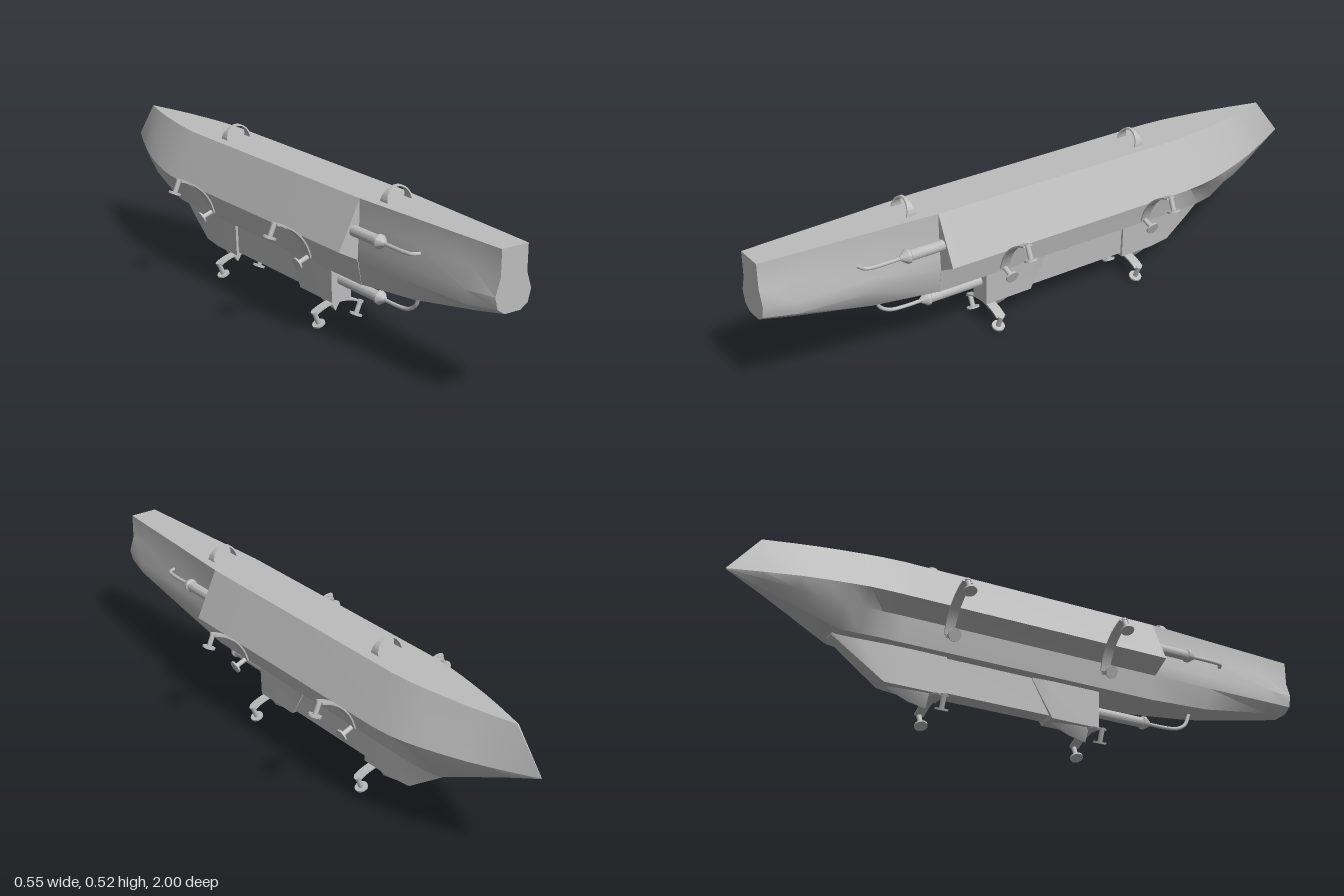
import * as THREE from 'three';
import { toCreasedNormals } from 'three/addons/utils/BufferGeometryUtils.js';

const grey = new THREE.MeshStandardMaterial({ color: 0xbcbcbc });
grey.name = 'hull grey';

function part(name, geometry, parent) {
  const mesh = new THREE.Mesh(geometry, grey);
  mesh.name = name;
  parent.add(mesh);
  return mesh;
}

// Skin mirrored cross-sections, listed front to back as [z, [x, y] from top to bottom]
function loft(sections, crease = 0.6) {
  const rings = sections.map(([z, half]) => [
    ...half.slice().reverse().map(([x, y]) => [x, y, z]),
    ...half.map(([x, y]) => [-x, y, z]),
  ]);
  const n = rings[0].length;
  const pos = rings.flat(2);
  const index = [];
  for (let r = 0; r < rings.length - 1; r++) {
    for (let i = 0; i < n; i++) {
      const a = r * n + i, b = r * n + (i + 1) % n;
      index.push(a, a + n, b, b, a + n, b + n);
    }
  }
  [0, rings.length - 1].forEach((r) => {
    const ys = rings[r].map((p) => p[1]);
    const c = pos.length / 3;
    pos.push(0, (Math.min(...ys) + Math.max(...ys)) / 2, rings[r][0][2]);
    for (let i = 0; i < n; i++) {
      const a = r * n + i, b = r * n + (i + 1) % n;
      if (r === 0) index.push(c, a, b);
      else index.push(c, b, a);
    }
  });
  const g = new THREE.BufferGeometry();
  g.setAttribute('position', new THREE.Float32BufferAttribute(pos, 3));
  g.setIndex(index);
  return toCreasedNormals(g, crease);
}

// Flat curved band in the xy plane with its width along z
function band(radius, thickness, from, to, width) {
  const s = new THREE.Shape();
  s.absarc(0, 0, radius, from, to, false);
  s.absarc(0, 0, radius - thickness, to, from, true);
  const g = new THREE.ExtrudeGeometry(s, { depth: width, bevelEnabled: false, curveSegments: 20 });
  return g.translate(0, 0, -width / 2);
}

// Stepped barrel along +z with a conical collar, and a bent pipe from its end
function barrel(name, length, pipePoints) {
  const group = new THREE.Group();
  group.name = name;
  const profile = [[0, 0], [0.017, 0], [0.017, length - 0.012], [0.022, length - 0.008],
    [0.022, length], [0.007, length + 0.022], [0, length + 0.022]];
  const body = new THREE.LatheGeometry(profile.map((p) => new THREE.Vector2(...p)), 20);
  part('barrelBody', toCreasedNormals(body.rotateX(Math.PI / 2), 0.5), group);
  const curve = new THREE.CatmullRomCurve3(pipePoints.map((p) => new THREE.Vector3(...p)));
  part('bentPipe', new THREE.TubeGeometry(curve, 24, 0.006, 10), group);
  return group;
}

// Curved arm with an angled round foot at each end
const ARM_R = 0.171;
function clampArm(name) {
  const group = new THREE.Group();
  group.name = name;
  const half = 0.55;
  part('curvedArm', band(ARM_R, 0.005, Math.PI / 2 - half, Math.PI / 2 + half, 0.032), group);
  for (const s of [-1, 1]) {
    const foot = new THREE.Group();
    foot.name = 'foot';
    foot.position.set(s * Math.sin(half) * ARM_R, Math.cos(half) * ARM_R, 0);
    foot.rotation.z = -s * 0.4;
    part('footPost', new THREE.CylinderGeometry(0.008, 0.008, 0.044, 14), foot).position.y = -0.022;
    part('footPad', new THREE.CylinderGeometry(0.021, 0.021, 0.006, 20), foot).position.y = -0.045;
    part('footHinge', new THREE.CylinderGeometry(0.01, 0.01, 0.006, 14), foot);
    group.add(foot);
  }
  return group;
}

export function createModel() {
  const model = new THREE.Group();
  model.name = 'vessel';

  // Broad main hull, drawn to a point at the back
  const wide = [[0.08, 0.472], [0.152, 0.32], [0.085, 0.285], [0.069, 0.204]];
  part('mainHull', loft([
    [0.43, wide],
    [-0.47, wide],
    [-0.54, [[0.075, 0.472], [0.148, 0.322], [0.092, 0.28], [0.069, 0.204]]],
    [-0.6, [[0.067, 0.472], [0.14, 0.325], [0.1, 0.275], [0.065, 0.204]]],
    [-0.66, [[0.057, 0.472], [0.126, 0.328], [0.101, 0.27], [0.056, 0.207]]],
    [-0.73, [[0.044, 0.472], [0.107, 0.332], [0.088, 0.28], [0.044, 0.236]]],
    [-0.8, [[0.028, 0.472], [0.085, 0.336], [0.07, 0.3], [0.03, 0.265]]],
    [-0.9, [[0.002, 0.472], [0.045, 0.342], [0.036, 0.325], [0.014, 0.307]]],
    [-1, [[0.0005, 0.351], [0.001, 0.349], [0.001, 0.348], [0.0005, 0.347]]],
  ]), model);

  // Narrow forward section
  part('noseSection', loft([
    [1, [[0.047, 0.472], [0.047, 0.392], [0.064, 0.341], [0.054, 0.303], [0.028, 0.286]]],
    [0.9, [[0.053, 0.472], [0.058, 0.395], [0.08, 0.335], [0.074, 0.292], [0.038, 0.267]]],
    [0.65, [[0.067, 0.472], [0.069, 0.4], [0.083, 0.33], [0.083, 0.286], [0.052, 0.223]]],
    [0.42, [[0.08, 0.472], [0.08, 0.4], [0.083, 0.33], [0.084, 0.286], [0.069, 0.204]]],
  ]), model);

  // Keel: two deep pods joined by a slimmer bridge
  const pod = [[0.041, 0.21], [0.036, 0.08]];
  part('frontKeelPod', loft([[0.24, pod], [0.07, pod], [0, [[0.036, 0.21], [0.034, 0.2]]]]), model);
  part('keelBridge', loft([
    [0.1, [[0.032, 0.21], [0.028, 0.09]]],
    [-0.32, [[0.032, 0.21], [0.028, 0.09]]],
  ]), model);
  part('rearKeelPod', loft([
    [-0.3, pod], [-0.42, pod],
    [-0.5, [[0.038, 0.21], [0.028, 0.084]]],
    [-0.59, [[0.032, 0.21], [0.024, 0.147]]],
    [-0.67, [[0.022, 0.212], [0.018, 0.204]]],
  ]), model);

  // Tapered fairings beneath the pods
  for (const z of [0.21, -0.35]) {
    part('keelFairing', loft([
      [z, [[0.024, 0.082], [0.022, 0.074], [0.001, 0.038]]],
      [z - 0.06, [[0.02, 0.082], [0.018, 0.077], [0.001, 0.05]]],
      [z - 0.13, [[0.004, 0.082], [0.003, 0.081], [0.001, 0.079]]],
    ]), model);
  }

  // Barrel under the nose, its pipe bending up into the hull
  const lower = barrel('lowerBarrel', 0.195, [[0, 0, 0.19], [0, 0, 0.28], [0, 0.006, 0.325],
    [0, 0.026, 0.357], [0, 0.066, 0.375]]);
  lower.position.set(0, 0.15, 0.24);
  model.add(lower);

  // Side barrels, their pipes bending into the nose
  for (const s of [-1, 1]) {
    const side = barrel(s > 0 ? 'leftBarrel' : 'rightBarrel', 0.13,
      [[0, 0, 0.12], [0, 0, 0.235], [-s * 0.006, 0, 0.262], [-s * 0.032, 0, 0.275]]);
    side.position.set(s * 0.099, 0.378, 0.425);
    model.add(side);
  }

  // Deck hoops, broad at the feet and narrow at the crown
  for (const z of [0.5, -0.35]) {
    const g = band(0.047, 0.005, 0, Math.PI, 0.036);
    const p = g.attributes.position;
    for (let i = 0; i < p.count; i++) p.setZ(i, p.getZ(i) * (1 - 0.75 * p.getY(i) / 0.047));
    g.computeVertexNormals();
    part('deckHoop', toCreasedNormals(g, 0.5), model).position.set(0, 0.471, z);
  }

  // Clamp arms on both flanks and under the keel
  for (const z of [0.22, -0.33]) {
    const bottom = clampArm('keelArm');
    bottom.position.set(0, 0.08 - ARM_R, z);
    model.add(bottom);
    for (const s of [-1, 1]) {
      const arm = clampArm(s > 0 ? 'leftArm' : 'rightArm');
      arm.position.set(s * 0.277, 0.204, z);
      arm.rotation.z = s * 0.8;
      model.add(arm);
    }
  }
  return model;
}
